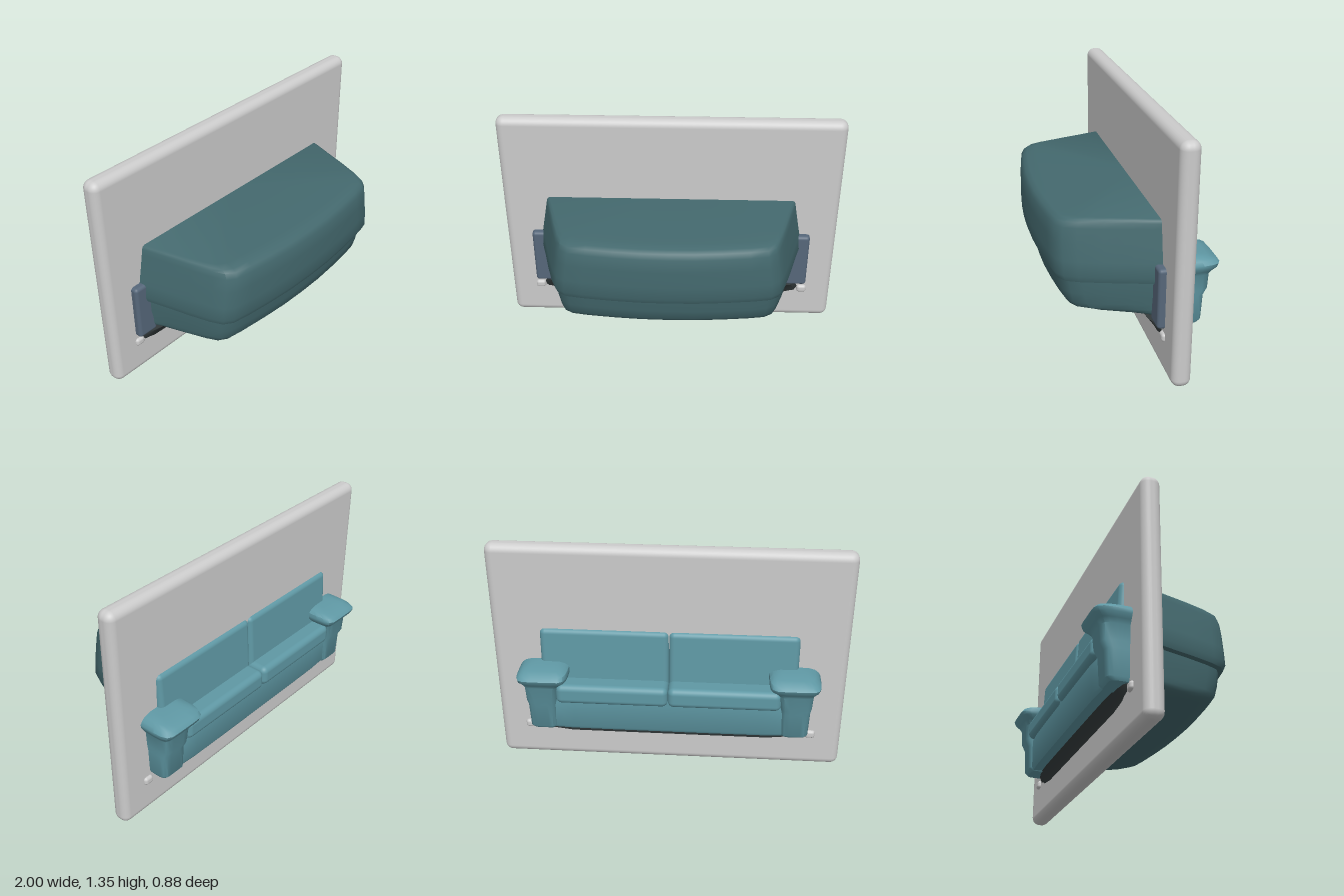
import * as THREE from 'three';
import { RoundedBoxGeometry } from 'three/addons/geometries/RoundedBoxGeometry.js';
import { toCreasedNormals } from 'three/addons/utils/BufferGeometryUtils.js';

const PANEL_Z = -0.193;
const mat = (color) => new THREE.MeshStandardMaterial({ color });
const grey = mat(0xcccccc);
const frontTeal = mat(0x44696e);
const backTeal = mat(0x5f98a4);
const shadow = mat(0x333a3b);
const slate = mat(0x56677a);

// Half outlines seen from above: [sideways, outward], mirrored to the other side
const BOW = [[1, 0], [0.97, 0.15], [0.93, 0.32], [0.88, 0.55], [0.83, 0.75], [0.79, 0.86], [0.73, 0.915], [0.6, 0.945], [0.4, 0.975], [0.2, 0.995], [0, 1]];
const BLOCK = [[1, 0], [1, 0.3], [1, 0.6], [0.97, 0.8], [0.88, 0.93], [0.7, 0.99], [0.4, 1], [0, 1]];

// Stacks outlines that grow out of the panel; levels are [y, centreX, halfWidth, frontZ]
function loft(half, levels, dir) {
  const outline = [...half, ...half.slice(0, -1).reverse().map(([u, v]) => [-u, v])];
  const n = outline.length, pos = [], idx = [];
  const tri = (a, b, c) => (dir > 0 ? idx.push(a, b, c) : idx.push(a, c, b));
  for (const [y, cx, w, z] of levels)
    for (const [u, v] of outline) pos.push(cx + u * w, y, PANEL_Z + v * (z - PANEL_Z));
  for (let i = 0; i < levels.length - 1; i++)
    for (let j = 0; j < n - 1; j++) {
      const a = i * n + j, b = a + 1, c = a + n, d = c + 1;
      tri(a, c, b);
      tri(b, c, d);
    }
  // Bottom and top caps
  for (const [row, top] of [[0, false], [levels.length - 1, true]]) {
    const [y, cx] = levels[row], centre = pos.length / 3;
    pos.push(cx, y, PANEL_Z);
    for (let j = 0; j < n - 1; j++) {
      const a = row * n + j;
      if (top) tri(centre, a + 1, a);
      else tri(centre, a, a + 1);
    }
  }
  const g = new THREE.BufferGeometry();
  g.setAttribute('position', new THREE.Float32BufferAttribute(pos, 3));
  g.setIndex(idx);
  return toCreasedNormals(g, 0.75);
}

export function createModel() {
  const model = new THREE.Group();
  const add = (name, geometry, material, x = 0, y = 0, z = 0) => {
    const m = new THREE.Mesh(geometry, material);
    m.name = name;
    m.position.set(x, y, z);
    model.add(m);
    return m;
  };
  const box = (name, w, h, d, r, material, x, y, z) =>
    add(name, new RoundedBoxGeometry(w, h, d, 4, r), material, x, y, z);

  // Upright panel
  box('panel', 2, 1.35, 0.106, 0.045, grey, 0, 0.675, PANEL_Z);

  // Bowed shell in front: narrow lower part, overhanging upper part
  add('lowerShell', loft(BOW, [
    [0.265, 0, 0.76, -0.08], [0.28, 0, 0.76, 0.0], [0.295, 0, 0.76, 0.15], [0.31, 0, 0.76, 0.27],
    [0.33, 0, 0.76, 0.35], [0.36, 0, 0.76, 0.375], [0.42, 0, 0.77, 0.39], [0.51, 0, 0.77, 0.405],
  ], 1), frontTeal);
  add('upperShell', loft(BOW, [
    [0.495, 0, 0.77, 0.395], [0.505, 0, 0.79, 0.425], [0.54, 0, 0.8, 0.44], [0.62, 0, 0.79, 0.44],
    [0.72, 0, 0.77, 0.44], [0.8, 0, 0.755, 0.435], [0.83, 0, 0.75, 0.42], [0.843, 0, 0.745, 0.395],
    [0.85, 0, 0.735, 0.34],
  ], 1), frontTeal);
  add('frontUnderside', loft(BLOCK, [
    [0.18, 0, 0.8, -0.139], [0.2, 0, 0.8, -0.13], [0.24, 0, 0.79, -0.1], [0.275, 0, 0.77, -0.07],
  ], 1), shadow);

  // Sofa emerging from the back
  add('sofaBase', loft(BLOCK, [
    [0.26, 0, 0.78, -0.34], [0.28, 0, 0.78, -0.352], [0.44, 0, 0.76, -0.357], [0.47, 0, 0.72, -0.357],
  ], -1), backTeal);
  add('backUnderside', loft(BLOCK, [
    [0.18, 0, 0.79, -0.247], [0.21, 0, 0.79, -0.253], [0.27, 0, 0.78, -0.29],
  ], -1), shadow);

  for (const s of [-1, 1]) {
    // Seat and back cushions, one pair per side
    box('seatCushion', 0.635, 0.12, 0.2, 0.035, backTeal, s * 0.317, 0.505, -0.284);
    const back = box('backCushion', 0.725, 0.36, 0.1, 0.03, backTeal, s * 0.363, 0.68, -0.225);
    back.rotation.x = 0.06;

    // Flared arm with a padded top
    add('arm', loft(BLOCK, [
      [0.255, s * 0.72, 0.07, -0.34], [0.275, s * 0.72, 0.08, -0.358], [0.42, s * 0.72, 0.085, -0.365],
      [0.46, s * 0.72, 0.09, -0.385], [0.55, s * 0.715, 0.1, -0.39], [0.575, s * 0.71, 0.12, -0.405],
      [0.6, s * 0.705, 0.14, -0.43], [0.62, s * 0.705, 0.143, -0.437], [0.64, s * 0.7, 0.135, -0.42],
      [0.655, s * 0.7, 0.115, -0.375], [0.665, s * 0.7, 0.08, -0.31],
    ], -1), backTeal);

    // Arm ends showing through the panel, and foot stubs
    box('armEnd', 0.13, 0.35, 0.1, 0.02, slate, s * 0.775, 0.445, -0.15);
    box('foot', 0.06, 0.05, 0.14, 0.018, grey, s * 0.82, 0.22, PANEL_Z);
  }
  return model;
}
